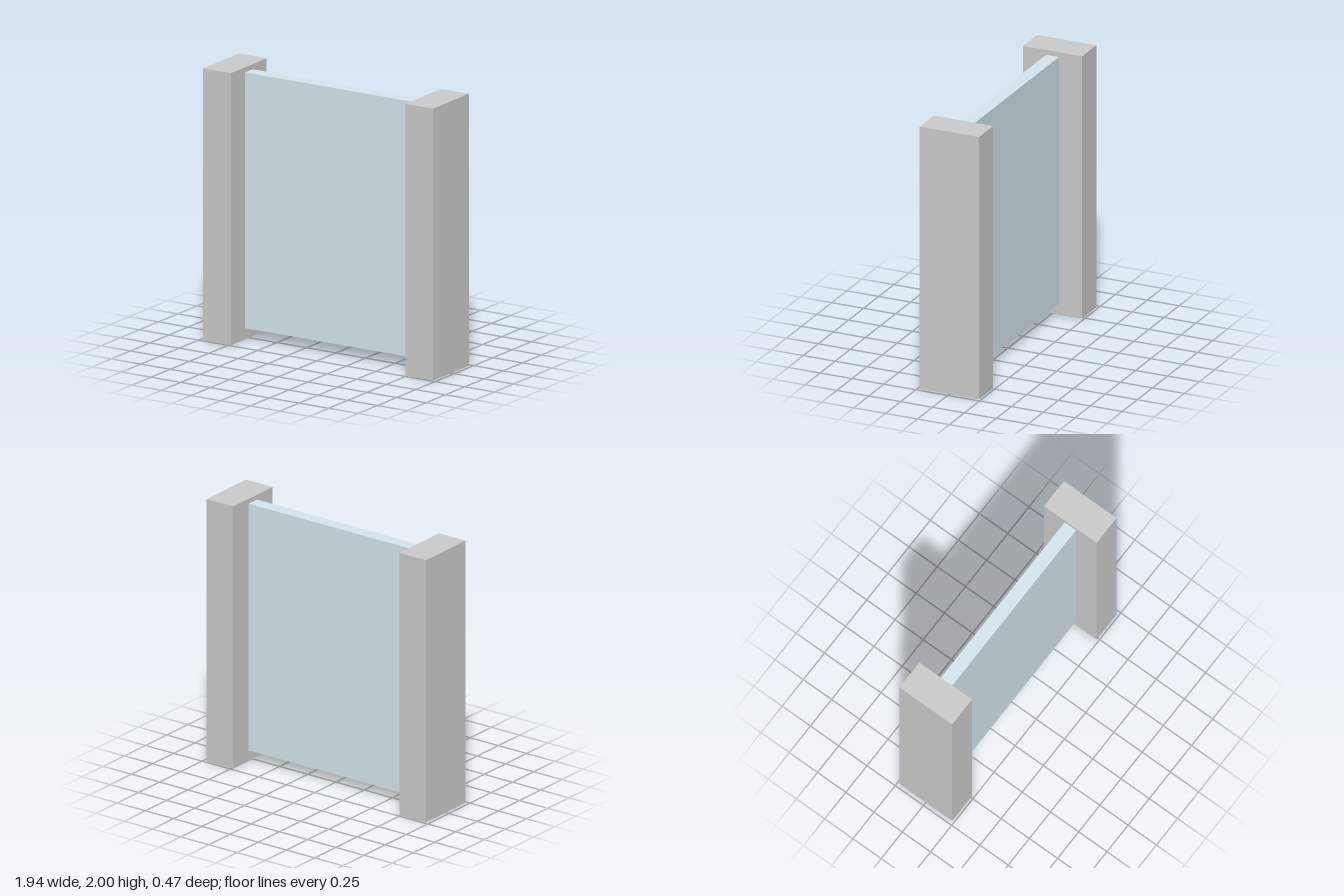
import * as THREE from 'three';

const POST = { width: 0.235, height: 2, depth: 0.466, outerX: 0.972 };
const PANEL = { bottom: 0.082, top: 1.963, depth: 0.1 };

function addBox(group, name, size, position, material) {
  const mesh = new THREE.Mesh(new THREE.BoxGeometry(...size), material);
  mesh.name = name;
  mesh.position.set(...position);
  group.add(mesh);
}

export function createModel() {
  const group = new THREE.Group();
  group.name = 'glassPanelBetweenPosts';
  const grey = new THREE.MeshStandardMaterial({ color: 0xcccccc });
  const glass = new THREE.MeshStandardMaterial({ color: 0xd6e6ee });

  // Two mirrored upright posts
  for (const [name, side] of [['leftPost', 1], ['rightPost', -1]]) {
    addBox(group, name, [POST.width, POST.height, POST.depth],
      [side * (POST.outerX - POST.width / 2), POST.height / 2, 0], grey);
  }

  // Glass panel spanning the gap, raised off the ground
  const span = 2 * (POST.outerX - POST.width);
  addBox(group, 'glassPanel', [span, PANEL.top - PANEL.bottom, PANEL.depth],
    [0, (PANEL.top + PANEL.bottom) / 2, 0], glass);

  return group;
}
